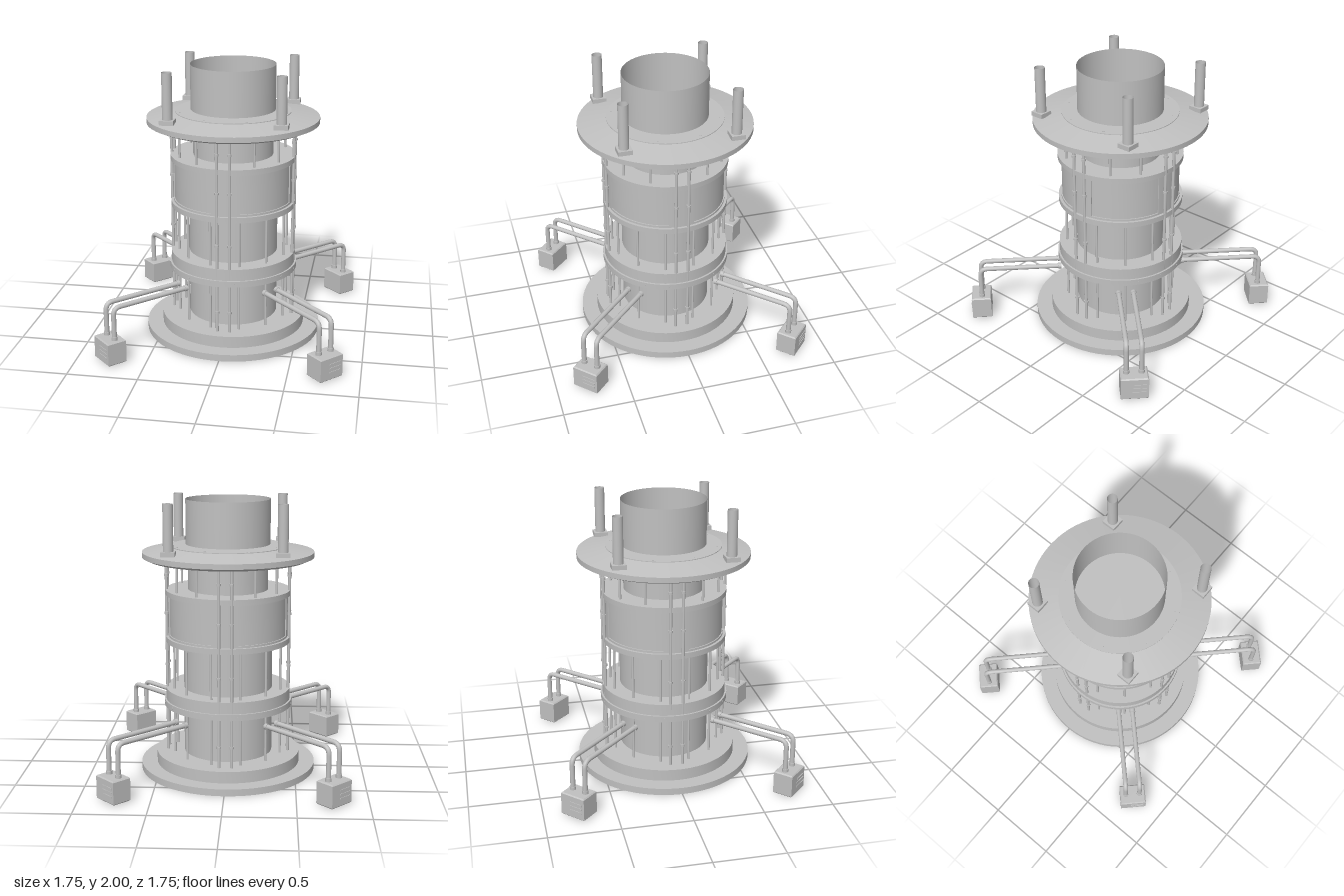
import * as THREE from 'three';
import { toCreasedNormals } from 'three/addons/utils/BufferGeometryUtils.js';

export function createModel() {
  const model = new THREE.Group();
  const steel = new THREE.MeshStandardMaterial({ color: 0xc0c0c0 });
  const sheet = new THREE.MeshStandardMaterial({ color: 0xc0c0c0, side: THREE.DoubleSide });
  steel.name = 'grey steel';
  sheet.name = 'grey sheet steel';

  function add(name, geometry, x = 0, y = 0, z = 0, parent = model, material = steel) {
    const mesh = new THREE.Mesh(geometry, material);
    mesh.name = name;
    mesh.position.set(x, y, z);
    parent.add(mesh);
    return mesh;
  }
  // Solid of revolution with sharp rims, profile listed from bottom to top
  function turned(name, profile) {
    const points = profile.map(([r, y]) => new THREE.Vector2(r, y));
    return add(name, toCreasedNormals(new THREE.LatheGeometry(points, 72), 0.15));
  }
  const disc = (name, r, y0, y1) => turned(name, [[0, y0], [r, y0], [r, y1], [0, y1]]);

  // Base and vessel
  disc('basePlate', 0.645, 0, 0.05);
  disc('baseRing', 0.53, 0.05, 0.135);
  disc('lowerVessel', 0.325, 0.135, 1.0);
  disc('upperVessel', 0.29, 1.34, 1.58);

  // Collar and rings around the vessel
  turned('collar', [[0, 0.49], [0.47, 0.49], [0.47, 0.535], [0.457, 0.535], [0.457, 0.62], [0, 0.62]]);
  disc('lowerRing', 0.453, 0.965, 1.005);
  disc('upperRing', 0.453, 1.312, 1.35);

  // Drum with four shallow recessed panels between the rings
  disc('drum', 0.426, 1.0, 1.315);
  disc('drumLowerBand', 0.434, 1.0, 1.02);
  disc('drumUpperBand', 0.434, 1.302, 1.315);
  for (let i = 0; i < 4; i++) {
    const a = i * Math.PI / 2, half = 0.21;
    const sector = new THREE.Shape();
    sector.absarc(0, 0, 0.434, a - half, a + half, false);
    sector.absarc(0, 0, 0.41, a + half, a - half, true);
    const pillar = add('drumPillar', toCreasedNormals(
      new THREE.ExtrudeGeometry(sector, { depth: 0.31, bevelEnabled: false, curveSegments: 10 }), 0.3), 0, 1.312);
    pillar.rotation.x = Math.PI / 2;
  }

  // Top flange with a slightly raised centre
  turned('topFlange', [[0, 1.57], [0.58, 1.57], [0.62, 1.588], [0.62, 1.625],
    [0.416, 1.663], [0.416, 1.668], [0, 1.668]]);

  // Open sleeve above the flange
  add('topSleeve', new THREE.CylinderGeometry(0.305, 0.305, 0.322, 64, 1, true), 0, 1.839, 0, model, sheet);

  // Four hollow posts on square feet
  for (const x of [-0.393, 0.393]) for (const z of [-0.393, 0.393]) {
    add('postFoot', new THREE.BoxGeometry(0.098, 0.032, 0.098), x, 1.658, z);
    add('post', new THREE.CylinderGeometry(0.036, 0.036, 0.33, 24, 1, true), x, 1.835, z, model, sheet);
  }

  // Paired tie rods with couplings
  const rodGeometry = new THREE.CylinderGeometry(0.011, 0.011, 1.45, 12);
  const couplingGeometry = new THREE.CylinderGeometry(0.016, 0.016, 0.016, 12);
  for (let i = 0; i < 4; i++) {
    const side = new THREE.Group();
    side.name = 'rodSet';
    side.rotation.y = i * Math.PI / 2;
    model.add(side);
    for (const s of [-1, 1]) {
      add('tieRod', rodGeometry, s * 0.045, 0.85, 0.445, side);
      for (const y of [0.285, 0.79, 1.175, 1.455])
        add('rodCoupling', couplingGeometry, s * 0.045, y, 0.445, side);
    }
  }

  // Thin rods: twelve below the drum, eight above it
  const lowerRod = new THREE.CylinderGeometry(0.009, 0.009, 0.84, 10);
  const upperRod = new THREE.CylinderGeometry(0.009, 0.009, 0.24, 10);
  for (let i = 0; i < 12; i++) {
    const a = (i + 0.5) * Math.PI / 6, b = i * Math.PI / 6;
    add('lowerThinRod', lowerRod, 0.4 * Math.sin(a), 0.55, 0.4 * Math.cos(a));
    if (i % 3) add('upperThinRod', upperRod, 0.408 * Math.sin(b), 1.46, 0.408 * Math.cos(b));
  }

  // Bolt circles: under and on the flange, and around the collar
  const boltGeometry = new THREE.CylinderGeometry(0.007, 0.007, 0.01, 8);
  function boltCircle(name, count, radius, y, radial) {
    for (let i = 0; i < count; i++) {
      const a = (i + 0.5) / count * Math.PI * 2;
      const bolt = add(name, boltGeometry, radius * Math.sin(a), y, radius * Math.cos(a));
      if (radial) bolt.rotation.set(Math.PI / 2, a, 0, 'YXZ');
    }
  }
  boltCircle('flangeLowerBolt', 24, 0.55, 1.57, false);
  boltCircle('flangeUpperBolt', 8, 0.385, 1.665, false);
  boltCircle('collarBolt', 16, 0.467, 0.513, true);

  // Pump boxes on the diagonals with twin bent pipes
  const t = 0.194, d = 0.145, bevel = 0.008, boxZ = 1.066, pipeZ = 1.06;
  const plan = new THREE.Shape();
  plan.moveTo(-t / 2 + bevel, -d / 2 + bevel);
  plan.lineTo(t / 2 - bevel, -d / 2 + bevel);
  plan.lineTo(t / 2 - bevel, d / 2 - bevel);
  plan.lineTo(-t / 2 + bevel, d / 2 - bevel);
  const boxGeometry = new THREE.ExtrudeGeometry(plan, {
    depth: 0.172 - 2 * bevel, bevelThickness: bevel, bevelSize: bevel, bevelSegments: 1 });
  boxGeometry.rotateX(-Math.PI / 2);
  const louvre = new THREE.BoxGeometry(0.1, 0.012, 0.008);

  const path = new THREE.CurvePath();
  const v = (y, z) => new THREE.Vector3(0, y, z);
  path.add(new THREE.LineCurve3(v(0.17, pipeZ), v(0.365, pipeZ)));
  path.add(new THREE.QuadraticBezierCurve3(v(0.365, pipeZ), v(0.42, pipeZ), v(0.42, pipeZ - 0.055)));
  path.add(new THREE.LineCurve3(v(0.42, pipeZ - 0.055), v(0.42, 0.456)));
  const pipeGeometry = new THREE.TubeGeometry(path, 60, 0.0175, 14);
  const pipeCollar = new THREE.CylinderGeometry(0.022, 0.022, 0.024, 14);

  for (let i = 0; i < 4; i++) {
    const pump = new THREE.Group();
    pump.name = 'pumpUnit';
    pump.rotation.y = Math.PI / 4 + i * Math.PI / 2;
    model.add(pump);
    add('pumpBox', boxGeometry, 0, 0.008 + bevel, boxZ, pump);
    // Louvre slats on the outer face
    for (const y of [0.065, 0.095, 0.125])
      add('louvre', louvre, 0.03, y, boxZ + d / 2, pump);
    for (const s of [-1, 1]) {
      add('pipe', pipeGeometry, s * 0.053, 0, 0, pump, sheet);
      add('pipeFoot', pipeCollar, s * 0.053, 0.192, pipeZ, pump);
      add('pipeEnd', pipeCollar, s * 0.053, 0.42, 0.464, pump).rotation.x = Math.PI / 2;
    }
  }
  return model;
}
